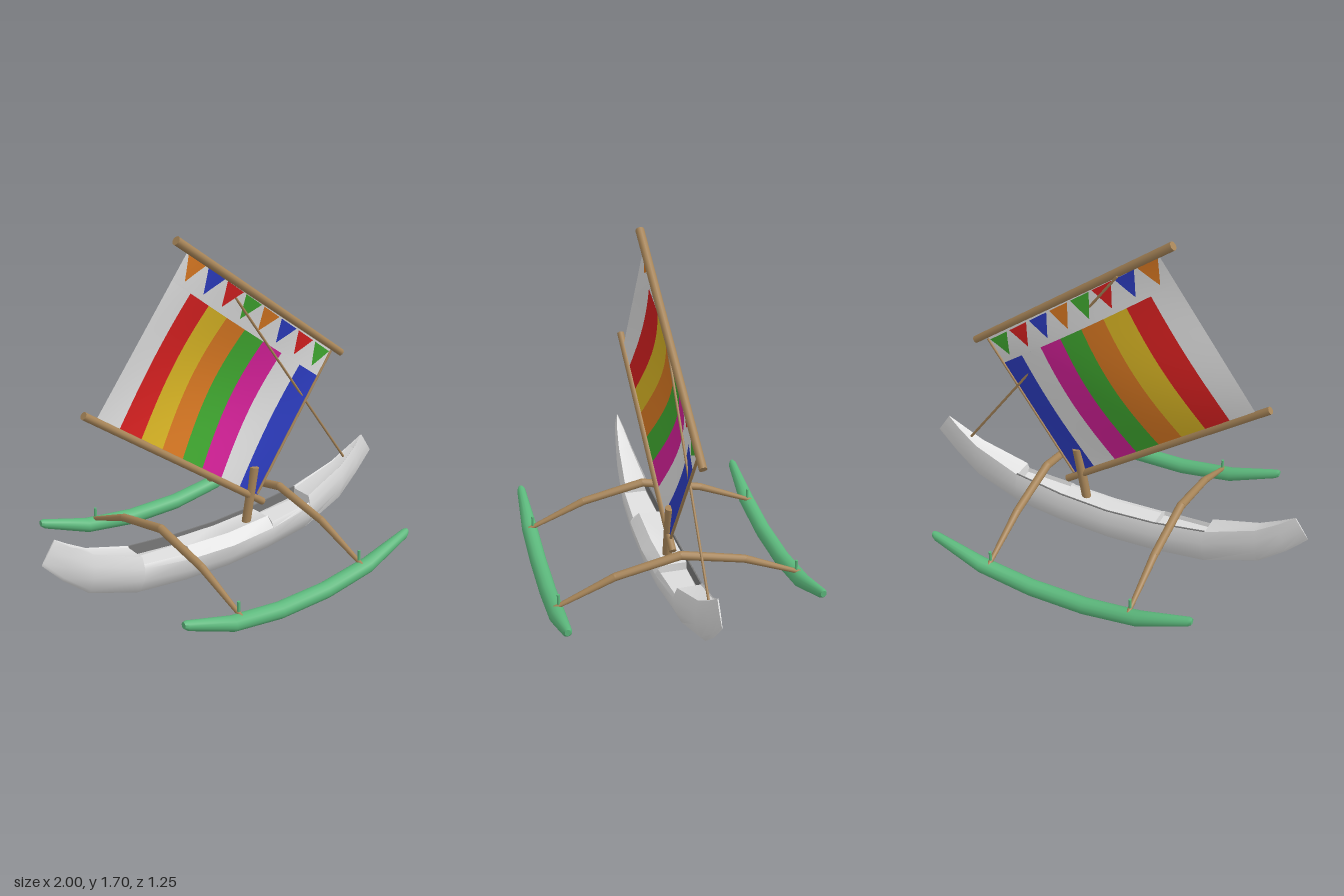
import * as THREE from 'three';
import { toCreasedNormals } from 'three/addons/utils/BufferGeometryUtils.js';

const V = (x, y, z) => new THREE.Vector3(x, y, z);
const paint = (name, color, side = THREE.FrontSide) => {
  const m = new THREE.MeshStandardMaterial({ color, side });
  m.name = name;
  return m;
};

// Skin a list of closed rings (each an array of Vector3), with fan caps
function loft(rings, crease = 0.6) {
  const n = rings[0].length, last = (rings.length - 1) * n, index = [];
  for (let i = 0; i < rings.length - 1; i++) {
    for (let j = 0; j < n; j++) {
      const a = i * n + j, b = i * n + (j + 1) % n, c = a + n, d = b + n;
      index.push(a, c, d, a, d, b);
    }
  }
  for (let j = 1; j < n - 1; j++) index.push(0, j, j + 1, last, last + j + 1, last + j);
  const g = new THREE.BufferGeometry().setFromPoints(rings.flat());
  g.setIndex(index);
  return toCreasedNormals(g, crease);
}

export function createModel() {
  const model = new THREE.Group();
  const white = paint('white', 0xdedede, THREE.DoubleSide);
  const shade = paint('rimGrey', 0x777777);
  const wood = paint('wood', 0xa68458);
  const jade = paint('floatGreen', 0x5cb87c);
  const [red, yellow, orange, green, magenta, blue] = [
    ['red', 0xd62020], ['yellow', 0xd8b424], ['orange', 0xd87822],
    ['green', 0x40a830], ['magenta', 0xd42098], ['blue', 0x2c3cc0],
  ].map(([n, c]) => paint(n, c, THREE.DoubleSide));

  function add(name, geometry, material, parent = model) {
    const mesh = new THREE.Mesh(geometry, material);
    mesh.name = name;
    parent.add(mesh);
    return mesh;
  }
  function rod(name, a, b, ra, rb, material, parent = model) {
    const m = add(name, new THREE.CylinderGeometry(rb, ra, a.distanceTo(b), 12), material, parent);
    m.position.copy(a).lerp(b, 0.5);
    m.quaternion.setFromUnitVectors(V(0, 1, 0), b.clone().sub(a).normalize());
    return m;
  }

  // Hull half stations: keel x, keel y, rim x, rim y, half width, near rim height, near rim width, deck depth
  const half = [
    [0, 0.005, 0, 0.218, 0.096, 0.95, 0.5, 0.08],
    [0.25, 0.015, 0.25, 0.23, 0.091, 0.95, 0.5, 0.08],
    [0.252, 0.015, 0.252, 0.23, 0.091, 0.84, 0.85, 0.26],
    [0.51, 0.042, 0.51, 0.263, 0.076, 0.8, 0.85, 0.3],
    [0.512, 0.042, 0.512, 0.263, 0.076, 0.96, 0.75, 0.04],
    [0.77, 0.135, 0.755, 0.345, 0.046, 0.98, 0.7, 0.02],
    [0.9, 0.245, 0.86, 0.41, 0.025, 0.98, 0.7, 0.02],
    [1, 0.355, 0.93, 0.46, 0.003, 0.99, 0.8, 0.01],
  ];
  const mirrored = half.slice(1).reverse().map(([a, b, c, ...r]) => [-a, b, -c, ...r]);
  const stations = [...mirrored, ...half];
  add('hull', loft(stations.map(([xb, yb, xt, yt, w, nearH, nearW, d]) => [
    [0, 0], [0.1, 0.45], [0.42, 0.9], [0.72, 1], [nearH, nearW],
    [Math.min(1 - d, nearH - 0.01), nearW - 0.08], [1 - d, -0.7], [1, -0.78],
    [0.72, -1], [0.42, -0.9], [0.1, -0.45],
  ].map(([h, s]) => V(xb + (xt - xb) * h, yb + (yt - yb) * h, s * w))), 0.7), white);

  // Shaded strip along the far inner rim
  add('innerRim', loft(stations.filter(s => Math.abs(s[0]) <= 0.512).map(([x, , , y, w]) => {
    const z = -0.76 * w;
    return [V(x, y - 0.05, z), V(x, y - 0.05, z + 0.007), V(x, y + 0.002, z + 0.007), V(x, y + 0.002, z)];
  })), shade);

  // Outrigger floats: x, centre y, half height, half width
  const floatHalf = [[0.14, 0.086, 0.04, 0.04], [0.41, 0.123, 0.037, 0.039],
    [0.655, 0.209, 0.024, 0.022], [0.672, 0.216, 0.016, 0.014]];
  const floatStations = [...floatHalf.map(([x, ...r]) => [-x, ...r]).reverse(), ...floatHalf];
  for (const side of [-1, 1]) {
    const name = side > 0 ? 'front' : 'back';
    add(name + 'Float', loft(floatStations.map(([x, y, h, w]) =>
      Array.from({ length: 14 }, (_, j) => {
        const t = j / 14 * Math.PI * 2;
        return V(x, y - h * Math.cos(t), side * 0.585 + w * Math.sin(t));
      })), 0.8), jade);
    for (const x of [-0.365, 0.365]) rod(name + 'Peg', V(x, 0.1, side * 0.572), V(x, 0.21, side * 0.572), 0.007, 0.007, jade);
  }

  // Bent crossbeams, tapering to the floats
  for (const x of [-0.365, 0.365]) {
    const beam = new THREE.Group();
    beam.name = x > 0 ? 'leftCrossbeam' : 'rightCrossbeam';
    for (const s of [-1, 1]) {
      const mid = V(x, 0.262, s * 0.31);
      rod('innerBeam', V(x, 0.328, 0), mid, 0.021, 0.019, wood, beam);
      rod('outerBeam', mid, V(x, 0.14, s * 0.6), 0.019, 0.01, wood, beam);
      add('beamBend', new THREE.SphereGeometry(0.019, 12, 8), wood, beam).position.copy(mid);
    }
    add('beamCrown', new THREE.SphereGeometry(0.021, 12, 8), wood, beam).position.set(x, 0.328, 0);
    model.add(beam);
  }

  // Mast, spars, stay and sail edge rope
  rod('mast', V(0.145, 0.2, 0.005), V(0.195, 0.485, 0.005), 0.023, 0.023, wood);
  rod('upperSpar', V(-0.272, 1.685, 0.025), V(0.742, 0.962, 0.015), 0.021, 0.018, wood);
  rod('lowerSpar', V(-0.762, 1.0, 0.012), V(0.25, 0.283, 0.005), 0.018, 0.018, wood);
  rod('stay', V(-0.02, 1.49, 0.005), V(0.812, 0.36, 0), 0.006, 0.006, wood);
  rod('sailEdge', V(0.215, 0.335, 0.005), V(0.672, 0.985, 0.015), 0.007, 0.007, wood);

  // Billowing sail surface: u along the spars, v from lower to upper spar
  const LL = V(-0.7, 0.962, 0.01), LR = V(0.215, 0.325, 0.005);
  const UL = V(-0.205, 1.632, 0.022), UR = V(0.672, 0.99, 0.015);
  const sailPoint = (u, v, off) => {
    const p = LL.clone().lerp(LR, u).lerp(UL.clone().lerp(UR, u), v);
    p.z += off - 0.065 * Math.sin(Math.PI * u) * Math.sin(Math.PI * v);
    return p;
  };
  // Patch of the sail; foot is its lower width relative to its upper width
  function patch(u0, u1, v0, v1, foot = 1, off = 0) {
    const g = new THREE.PlaneGeometry(1, 1, 8, 16), p = g.attributes.position;
    for (let i = 0; i < p.count; i++) {
      const t = p.getY(i) + 0.5, k = foot + (1 - foot) * t;
      const q = sailPoint((u0 + u1) / 2 + p.getX(i) * (u1 - u0) * k, v0 + (v1 - v0) * t, off);
      p.setXYZ(i, q.x, q.y, q.z);
    }
    g.computeVertexNormals();
    return g;
  }
  const sail = new THREE.Group();
  sail.name = 'sail';
  model.add(sail);
  [white, red, yellow, orange, green, magenta, white, blue].forEach((m, i) =>
    add('sailStripe', patch(i / 8, (i + 1) / 8, 0, 0.82), m, sail));
  add('sailHead', patch(0, 1, 0.82, 1), white, sail);

  // Row of pennants painted on both faces below the upper spar
  [orange, blue, red, green, orange, blue, red, green].forEach((m, i) => {
    const c = (i + 0.5) / 8;
    for (const off of [-0.003, 0.003]) add('pennant', patch(c - 0.054, c + 0.054, 0.855, 0.985, 0.02, off), m, sail);
  });
  return model;
}
